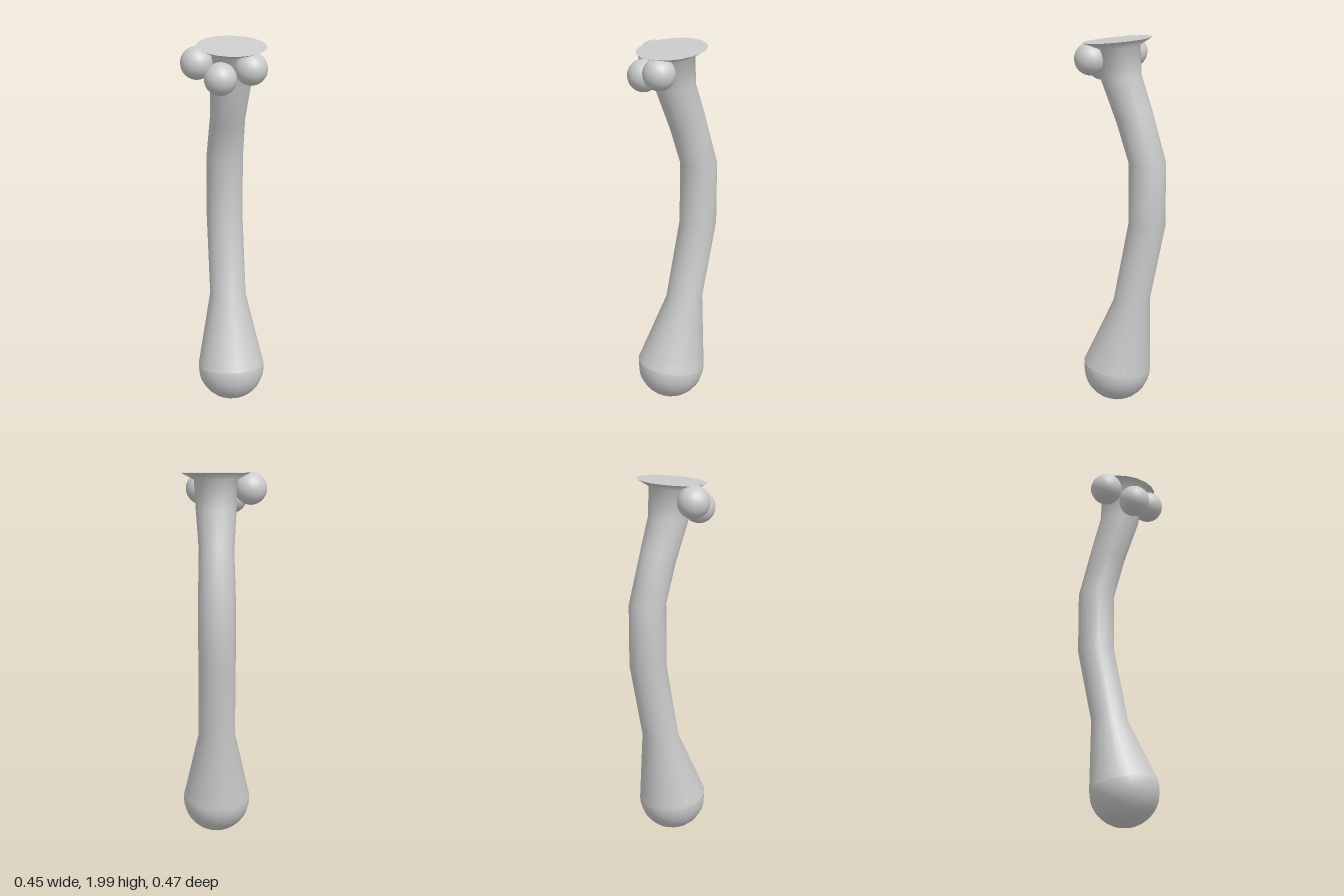
import * as THREE from 'three';

const SIDES = 20;
const CENTRE_X = 0.04;

// Cross-sections from bottom to top: [y, z, radius, tilt (rise in y per unit z)]
const SECTIONS = [
  [0.205, 0.035, 0.181, 0.15],
  [0.59, -0.05, 0.098, -0.05],
  [1.015, -0.135, 0.098, 0.03],
  [1.35, -0.135, 0.098, 0],
  [1.59, -0.063, 0.092, -0.42],
  [1.79, 0.01, 0.106, -0.1],
  [1.945, 0.027, 0.115, -0.1],
  [1.98, 0.03, 0.182, -0.1],
];

const material = () => new THREE.MeshStandardMaterial({ color: 0xcccccc });

function ringPoints([y, z, r, tilt]) {
  return Array.from({ length: SIDES }, (_, i) => {
    const a = (i / SIDES) * Math.PI * 2;
    const dz = Math.sin(a) * r;
    return [CENTRE_X + Math.cos(a) * r, y + tilt * dz, z + dz];
  });
}

function makeMesh(points, indices, name) {
  const geometry = new THREE.BufferGeometry();
  geometry.setAttribute('position', new THREE.Float32BufferAttribute(points.flat(), 3));
  geometry.setIndex(indices);
  geometry.computeVertexNormals();
  const mesh = new THREE.Mesh(geometry, material());
  mesh.name = name;
  return mesh;
}

// Bent stem lofted through the cross-sections, flaring at the top
function makeStem() {
  const indices = [];
  for (let s = 0; s < SECTIONS.length - 1; s++) {
    for (let i = 0; i < SIDES; i++) {
      const j = (i + 1) % SIDES;
      const a = s * SIDES + i, b = s * SIDES + j;
      indices.push(a, a + SIDES, b, b, a + SIDES, b + SIDES);
    }
  }
  return makeMesh(SECTIONS.flatMap(ringPoints), indices, 'stem');
}

// Flat tilted disc closing the flared top
function makeTopDisc() {
  const top = SECTIONS[SECTIONS.length - 1];
  const points = [...ringPoints(top), [CENTRE_X, top[0], top[1]]];
  const indices = [];
  for (let i = 0; i < SIDES; i++) indices.push(SIDES, (i + 1) % SIDES, i);
  return makeMesh(points, indices, 'topDisc');
}

function makeBall(name, radius, x, y, z) {
  const mesh = new THREE.Mesh(new THREE.SphereGeometry(radius, SIDES, 16), material());
  mesh.position.set(x, y, z);
  mesh.name = name;
  return mesh;
}

export function createModel() {
  const group = new THREE.Group();
  group.name = 'bentStemWithBalls';
  group.add(makeStem(), makeTopDisc());

  // Rounded foot
  group.add(makeBall('footBall', 0.181, CENTRE_X, 0.19, 0.035));

  // Small balls clustered under the rim
  group.add(
    makeBall('sideBall', 0.085, -0.14, 1.9, 0.022),
    makeBall('middleBall', 0.084, -0.044, 1.84, 0.146),
    makeBall('frontBall', 0.084, 0.113, 1.885, 0.15),
  );
  return group;
}
